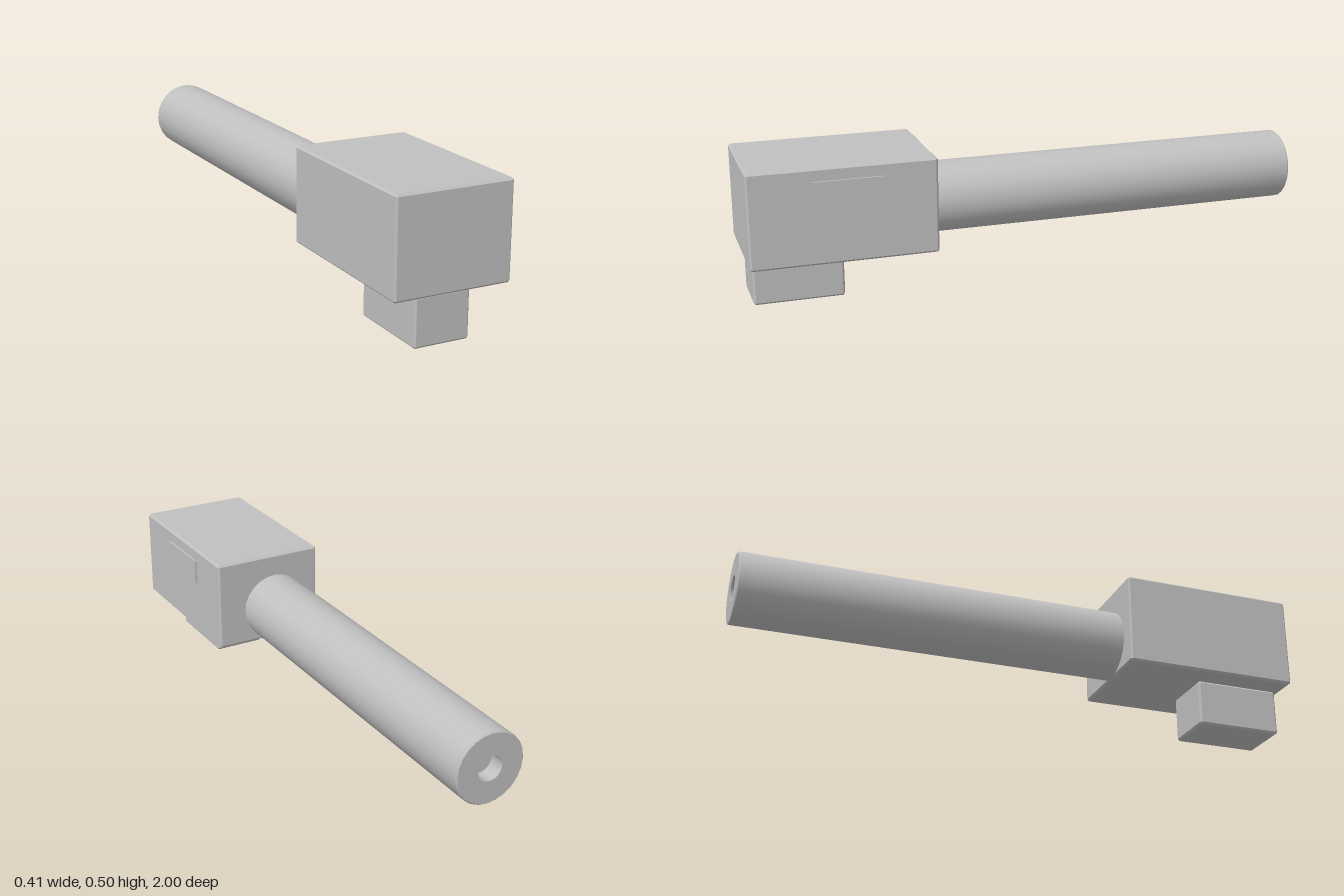
import * as THREE from 'three';
import { toCreasedNormals } from 'three/addons/utils/BufferGeometryUtils.js';
import { ConvexGeometry } from 'three/addons/geometries/ConvexGeometry.js';

const CHAMFER = 0.007;

// Box between two corners with every edge and corner cut flat
function chamferedBox(min, max, c = CHAMFER) {
  const points = [];
  for (const sx of [0, 1]) for (const sy of [0, 1]) for (const sz of [0, 1]) {
    const side = [sx, sy, sz];
    for (let face = 0; face < 3; face++) {
      const p = side.map((s, i) => {
        const inset = i === face ? 0 : c;
        return s ? max[i] - inset : min[i] + inset;
      });
      points.push(new THREE.Vector3(...p));
    }
  }
  return new ConvexGeometry(points);
}

export function createModel() {
  const model = new THREE.Group();
  model.name = 'model';
  const grey = new THREE.MeshStandardMaterial({ color: 0xc0c0c0 });
  grey.name = 'plain grey';

  const add = (name, geometry) => {
    const mesh = new THREE.Mesh(geometry, grey);
    mesh.name = name;
    model.add(mesh);
    return mesh;
  };

  // Main block and the smaller block beneath it
  add('body', chamferedBox([-0.207, 0.166, 0.367], [0.2, 0.495, 1]));
  add('foot', chamferedBox([-0.123, 0, 0.668], [0.07, 0.165, 0.978]));

  // Long round tube with a shallow bore in its rear end
  const profile = [
    [0.124, -0.38], [0.124, 0.996], [0.12, 1],
    [0.044, 1], [0.044, 0.945], [0, 0.945],
  ].map(([r, y]) => new THREE.Vector2(r, y));
  const tube = new THREE.LatheGeometry(profile, 24);
  tube.rotateX(-Math.PI / 2);
  const barrel = add('barrel', toCreasedNormals(tube, Math.PI / 6));
  barrel.position.set(-0.029, 0.292, 0);

  // Thin plate on the left side of the body
  const plate = add('sidePlate', new THREE.BoxGeometry(0.007, 0.09, 0.234));
  plate.position.set(0.2035, 0.406, 0.67);

  return model;
}
